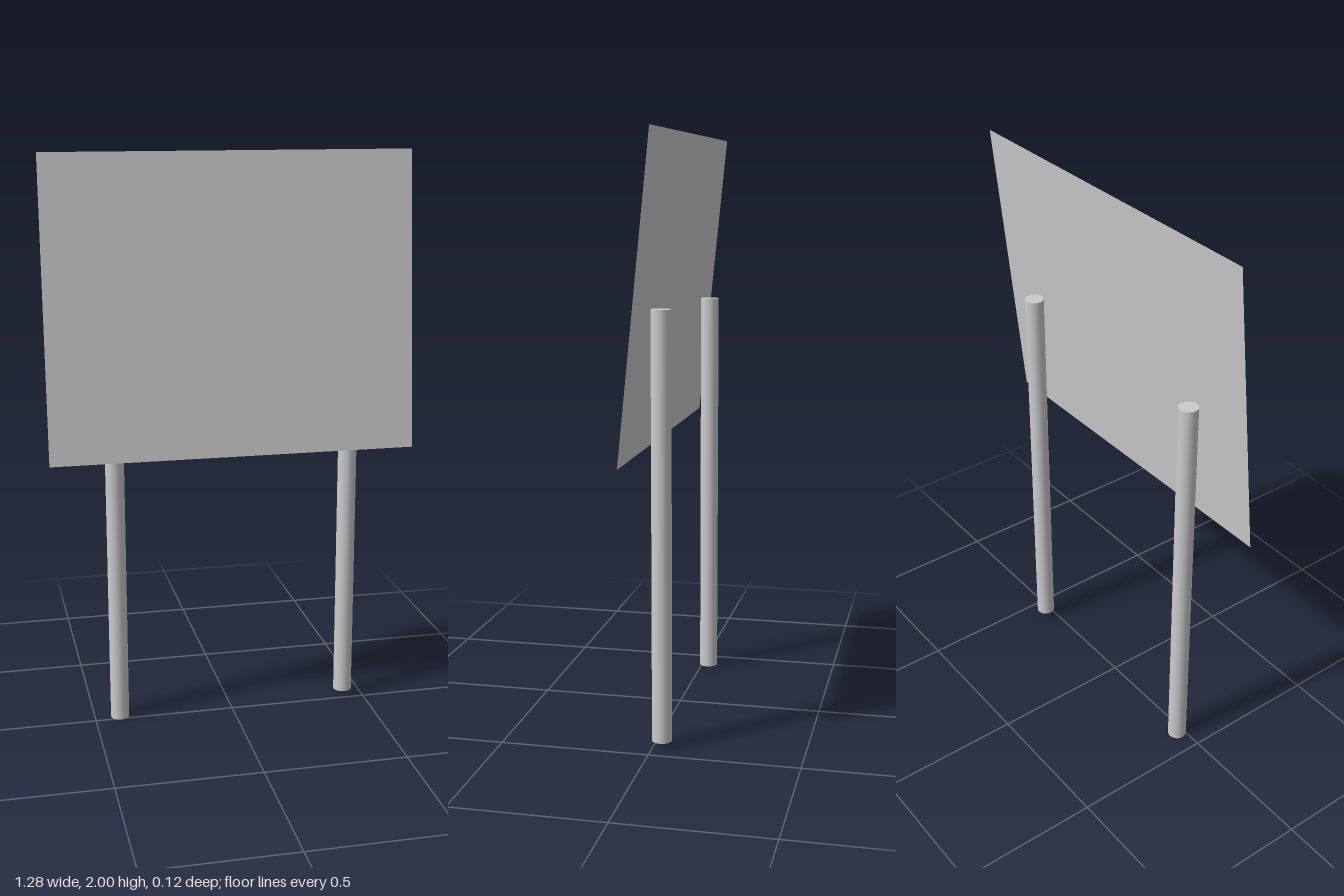
import * as THREE from 'three';

export function createModel() {
  const group = new THREE.Group();
  const material = new THREE.MeshStandardMaterial({ color: 0xcccccc });
  const panelMaterial = new THREE.MeshStandardMaterial({ color: 0xcccccc, side: THREE.DoubleSide });

  // Thin sign panel, leaning slightly back at the top
  const rise = 1.03, lean = 0.105;
  const panel = new THREE.Mesh(new THREE.PlaneGeometry(1.28, Math.hypot(rise, lean)), panelMaterial);
  panel.name = 'signPanel';
  panel.position.set(0, 0.97 + rise / 2, 0.008);
  panel.rotation.x = -Math.atan2(lean, rise);
  group.add(panel);

  // Round posts behind the panel, one set a little higher than the other
  const postHeight = 1.42;
  const addPost = (name, x, bottom, z) => {
    const post = new THREE.Mesh(new THREE.CylinderGeometry(0.033, 0.033, postHeight, 24), material);
    post.name = name;
    post.position.set(x, bottom + postHeight / 2, z);
    group.add(post);
  };
  addPost('rightPost', -0.41, 0, -0.024);
  addPost('leftPost', 0.428, 0.025, -0.03);

  return group;
}
